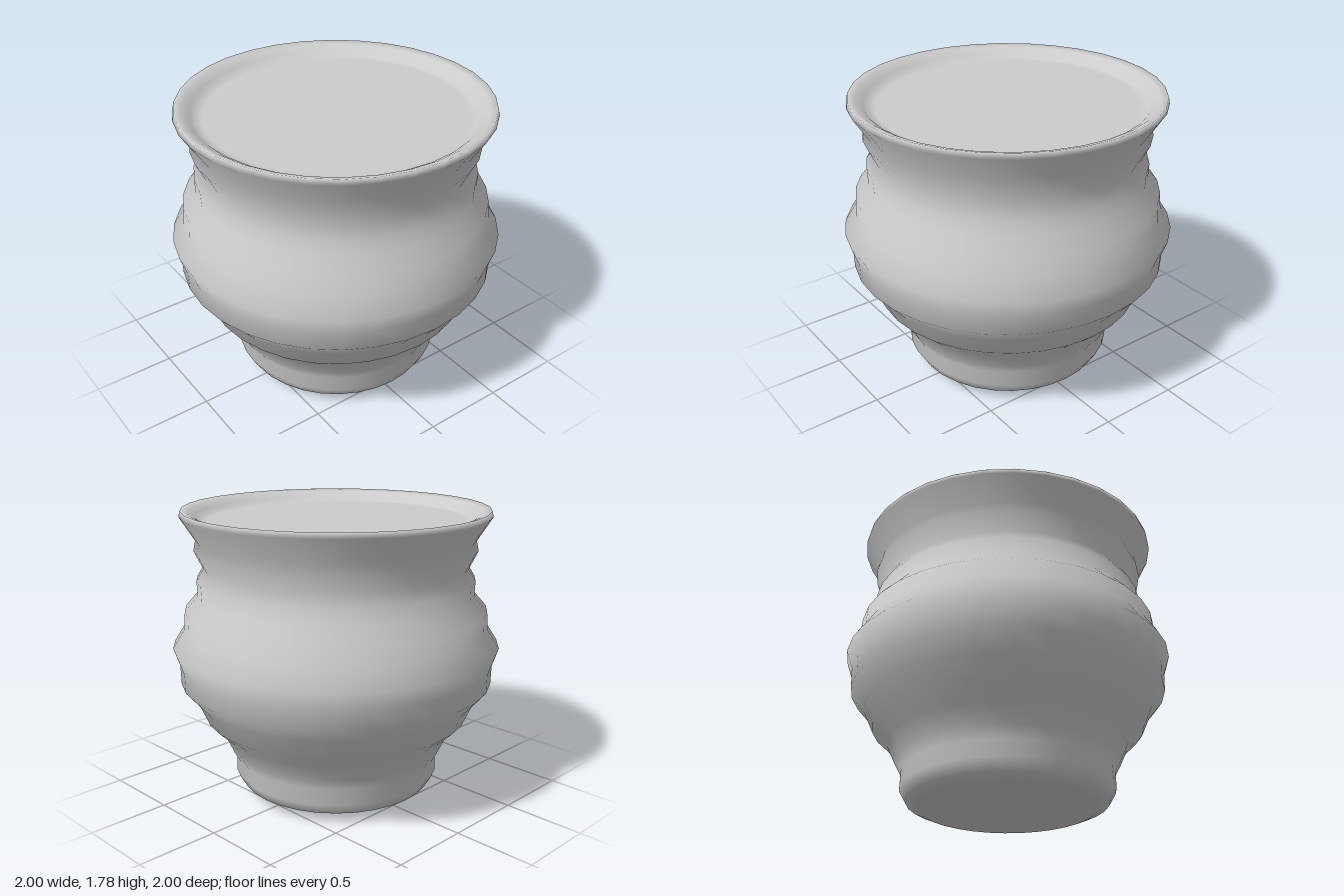
import * as THREE from 'three';

export function createModel() {
  const group = new THREE.Group();
  group.name = 'ribbedPot';
  const material = new THREE.MeshStandardMaterial({ color: 0xcccccc, side: THREE.DoubleSide });

  // Profile as [radius, height], from the base centre up to the rim and in to the lid
  const profile = [
    // slightly domed base
    [0, 0], [0.3, 0.018], [0.53, 0.04], [0.6, 0.07],
    // foot band and lower ribs
    [0.64, 0.14], [0.637, 0.24], [0.675, 0.31], [0.725, 0.42],
    [0.82, 0.51], [0.875, 0.635],
    // belly
    [0.96, 0.735], [0.963, 0.85], [1.0, 0.96], [0.93, 1.07], [0.92, 1.185],
    // neck ribs
    [0.84, 1.275], [0.843, 1.37], [0.8, 1.44], [0.853, 1.55], [0.84, 1.61],
    // flared rim
    [0.93, 1.752], [0.922, 1.785],
    // inner lip and sunken top
    [0.88, 1.772], [0.835, 1.745], [0.81, 1.72], [0.77, 1.715], [0, 1.715],
  ].map(([r, y]) => new THREE.Vector2(r, y));

  const pot = new THREE.Mesh(new THREE.LatheGeometry(profile, 32), material);
  pot.name = 'potBody';
  group.add(pot);
  return group;
}
